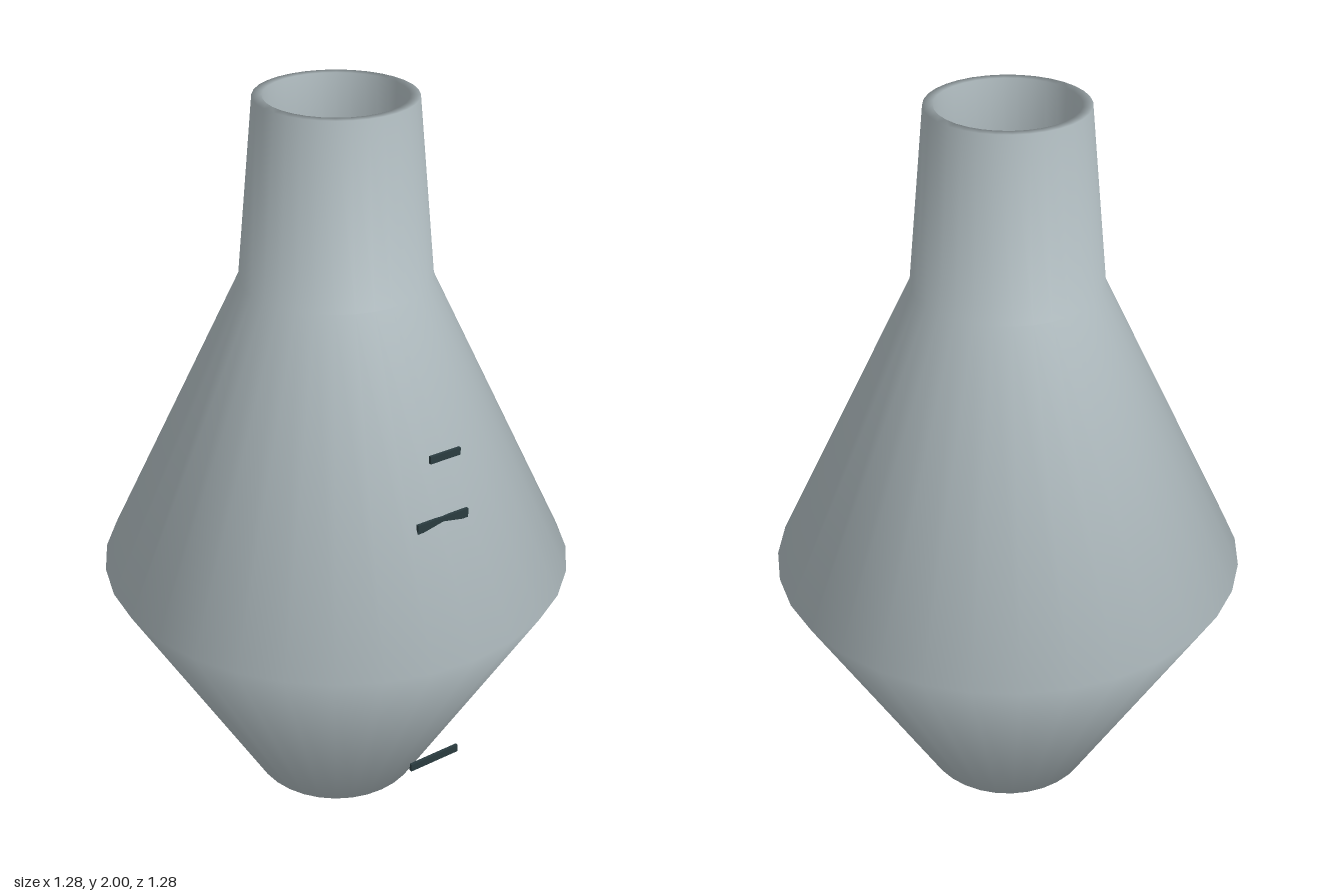
import * as THREE from 'three';

export function createModel() {
  const model = new THREE.Group();
  const glaze = new THREE.MeshStandardMaterial({ color: 0xb3bfc3 });
  glaze.name = 'pale grey glaze';
  const ink = new THREE.MeshStandardMaterial({ color: 0x2a3c40 });
  ink.name = 'dark slate';

  // hollow vase wall: base, belly, neck, rim, then back down the inside
  const profile = [
    [0, 0], [0.24, 0], [0.64, 0.71], [0.25, 1.53], [0.205, 2],
    [0.18, 2], [0.16, 1.53], [0.59, 0.71], [0.2, 0.06], [0, 0.06],
  ].map(([r, y]) => new THREE.Vector2(r, y));
  const vase = new THREE.Mesh(new THREE.LatheGeometry(profile, 32), glaze);
  vase.name = 'vase';
  model.add(vase);

  // thin label strips on the front: name, width, height, centre y
  for (const [name, w, h, y] of [
    ['upperStrip', 0.09, 0.02, 1.225],
    ['middleStrip', 0.155, 0.025, 1.038],
    ['lowerStrip', 0.155, 0.022, 0.285],
  ]) {
    const strip = new THREE.Mesh(new THREE.BoxGeometry(w, h, 0.008), ink);
    strip.name = name;
    strip.position.set(0, y, 0.48);
    model.add(strip);
  }
  return model;
}
